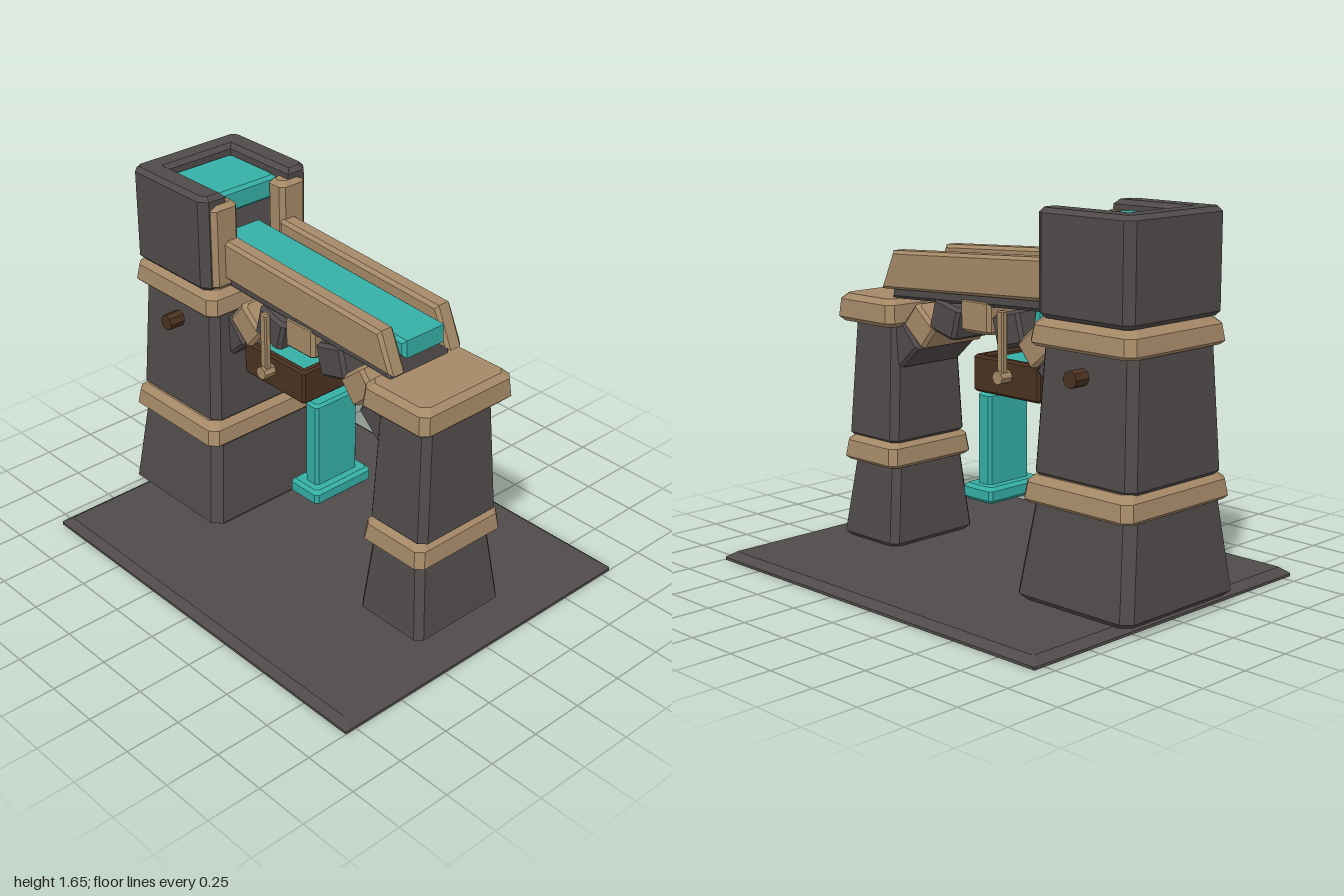
import * as THREE from 'three';

const material = (name, color) => {
  const m = new THREE.MeshStandardMaterial({ color });
  m.name = name;
  return m;
};

// Stack of chamfered rectangles, each [y, halfWidth, zBack, zFront], with flat caps
function loft(rings, c = 0.03) {
  const loops = rings.map(([y, h, z0, z1]) => [
    [h - c, z1], [h, z1 - c], [h, z0 + c], [h - c, z0],
    [c - h, z0], [-h, z0 + c], [-h, z1 - c], [c - h, z1],
  ].map(([x, z]) => [x, y, z]));
  const pos = [];
  const tri = (...pts) => pts.forEach((p) => pos.push(...p));
  for (let r = 0; r + 1 < loops.length; r++) {
    const a = loops[r], b = loops[r + 1];
    for (let i = 0; i < 8; i++) {
      const j = (i + 1) % 8;
      tri(a[i], a[j], b[j]);
      tri(a[i], b[j], b[i]);
    }
  }
  const bottom = loops[0], top = loops[loops.length - 1];
  for (let i = 1; i < 7; i++) {
    tri(top[0], top[i], top[i + 1]);
    tri(bottom[0], bottom[i + 1], bottom[i]);
  }
  const g = new THREE.BufferGeometry();
  g.setAttribute('position', new THREE.Float32BufferAttribute(pos, 3));
  g.computeVertexNormals();
  return g;
}

// Tapered block with bevelled top and bottom edges; ends are [y, halfWidth, zBack, zFront]
function block(lo, hi, bevel = 0.02, c = 0.03, topBevel = bevel) {
  const inset = ([y, h, z0, z1], dy, d) => [y + dy, h - d, z0 + d, z1 - d];
  return loft([inset(lo, 0, bevel), inset(lo, bevel, 0), inset(hi, -topBevel, 0), inset(hi, 0, topBevel)], c);
}
const box = (y0, y1, h, z0, z1, bevel = 0.012) => block([y0, h, z0, z1], [y1, h, z0, z1], bevel, bevel);

// Bevelled extrusion of an outline
function extrude(points, depth, b) {
  return new THREE.ExtrudeGeometry(new THREE.Shape(points.map((p) => new THREE.Vector2(...p))), {
    depth: depth - 2 * b, bevelEnabled: true, bevelSegments: 1, bevelSize: b, bevelThickness: b, bevelOffset: -b,
  }).translate(0, 0, b);
}
// Side outline in (z, y), extruded across x from x0 to x1
const sideProfile = (points, x0, x1, b = 0.015) =>
  extrude(points, x1 - x0, b).rotateY(-Math.PI / 2).translate(x1, 0, 0);

// Faceted rod lying along x
function rod(radius, length, sides = 8) {
  const g = new THREE.CylinderGeometry(radius, radius, length, sides).toNonIndexed();
  g.computeVertexNormals();
  return g.rotateZ(Math.PI / 2);
}

export function createModel() {
  const stone = material('dark stone', 0x504b4a);
  const trim = material('tan trim', 0xa58967);
  const water = material('teal water', 0x35afa6);
  const wood = material('dark wood', 0x4a3220);
  const model = new THREE.Group();
  const add = (name, geometry, mat) => {
    const mesh = new THREE.Mesh(geometry, mat);
    mesh.name = name;
    model.add(mesh);
    return mesh;
  };

  // Ground slab
  add('base', loft([[0, 0.805, -0.945, 1], [0.012, 0.805, -0.945, 1], [0.04, 0.77, -0.905, 0.955]], 0.006), stone);

  // Front pier
  add('pierFoot', block([0.04, 0.25, 0.475, 0.845], [0.43, 0.21, 0.5, 0.8]), stone);
  add('pierBand', block([0.405, 0.25, 0.48, 0.835], [0.52, 0.24, 0.49, 0.825], 0.015, 0.03, 0.025), trim);
  add('pierShaft', block([0.51, 0.225, 0.497, 0.825], [1.07, 0.195, 0.51, 0.8]), stone);
  add('pierCap', block([1.05, 0.262, 0.473, 0.85], [1.175, 0.255, 0.482, 0.842], 0.02, 0.03, 0.025), trim);

  // Rear tower
  add('towerFoot', block([0.04, 0.345, -1, -0.37], [0.48, 0.29, -0.963, -0.417], 0.025, 0.04), stone);
  add('towerLowerBand', block([0.455, 0.33, -0.98, -0.39], [0.57, 0.32, -0.97, -0.4], 0.015, 0.035, 0.03), trim);
  add('towerShaft', block([0.56, 0.29, -0.963, -0.417], [1.12, 0.26, -0.94, -0.44], 0.02, 0.035), stone);
  add('towerUpperBand', block([1.1, 0.305, -0.965, -0.4], [1.215, 0.295, -0.955, -0.41], 0.015, 0.035, 0.03), trim);
  add('axle', rod(0.037, 0.68).translate(0, 1, -0.68), wood);

  // U-shaped tank head, open to the front
  const half = [[0.175, 0.44], [0.265, 0.44], [0.295, 0.48], [0.295, 0.91], [0.26, 0.945]];
  const outline = [[0.175, 0.83], ...half, ...half.map(([x, z]) => [-x, z]).reverse(), [-0.175, 0.83]];
  add('tankHead', extrude(outline, 0.44, 0.02).rotateX(-Math.PI / 2).translate(0, 1.215, 0), stone);
  add('tankWater', box(1.51, 1.615, 0.176, -0.83, -0.51, 0.015), water);

  // Sloping channel
  add('channelBed', sideProfile([[0.56, 1.17], [0.545, 1.27], [-0.55, 1.34], [-0.55, 1.22], [-0.4, 1.212]], -0.175, 0.175), stone);
  add('channelWater', sideProfile([[0.585, 1.258], [0.585, 1.338], [-0.56, 1.403], [-0.56, 1.32]], -0.118, 0.118), water);
  for (const s of [-1, 1]) {
    add('channelWall', sideProfile([[0.6, 1.212], [0.525, 1.388], [-0.44, 1.443], [-0.44, 1.262]],
      s * 0.16 - 0.042, s * 0.16 + 0.042), trim);
    add('gatePost', box(1.22, 1.612, 0.07, -0.52, -0.418, 0.02), trim).position.x = s * 0.19;
    // Hangers for the trough
    add('hanger', box(0.91, 1.2, 0.016, -0.185, -0.147, 0.006), trim).position.x = s * 0.2;
    add('hangerPin', rod(0.03, 0.06).translate(s * 0.2, 0.918, -0.166), trim);
  }

  // Arch stones, mirrored about the keystone
  const centre = 0.024;
  const archStone = (name, mat, dz, y, angle, depth, height) => {
    const m = add(name, box(-height / 2, height / 2, 0.18, -depth / 2, depth / 2, 0.015), mat);
    m.position.set(0, y, centre + dz);
    m.rotation.x = angle;
  };
  archStone('keystone', trim, 0, 1.15, 0, 0.18, 0.15);
  for (const s of [-1, 1]) {
    archStone('upperArchStone', stone, s * 0.193, 1.115, -s * 0.26, 0.165, 0.15);
    archStone('middleArchStone', trim, s * 0.353, 1.064, -s * 0.7, 0.165, 0.14);
    archStone('springerStone', stone, s * 0.473, 0.97, -s * 0.84, 0.16, 0.17);
  }

  // Hanging trough with its water
  add('troughFloor', box(0.825, 0.87, 0.17, -0.35, 0.043), wood);
  for (const s of [-1, 1]) {
    add('troughSide', box(0.825, 0.985, 0.02, -0.35, 0.043, 0.01), wood).position.x = s * 0.15;
    const z = s > 0 ? 0.023 : -0.33;
    add('troughEnd', box(0.825, 0.985, 0.165, z - 0.02, z + 0.02, 0.01), wood);
  }
  add('troughWater', box(0.86, 0.965, 0.135, -0.32, 0.015, 0.005), water);

  // Spill into the trough, and the fall below it
  add('spill', sideProfile([[-0.21, 0.95], [-0.25, 1.22], [-0.29, 1.22], [-0.26, 0.95]], -0.09, 0.09, 0.008), water);
  add('fallingWater', box(0.39, 0.81, 0.12, -0.01, 0.07), water);
  add('splash', box(0.335, 0.407, 0.165, -0.06, 0.117, 0.015), water);

  return model;
}
